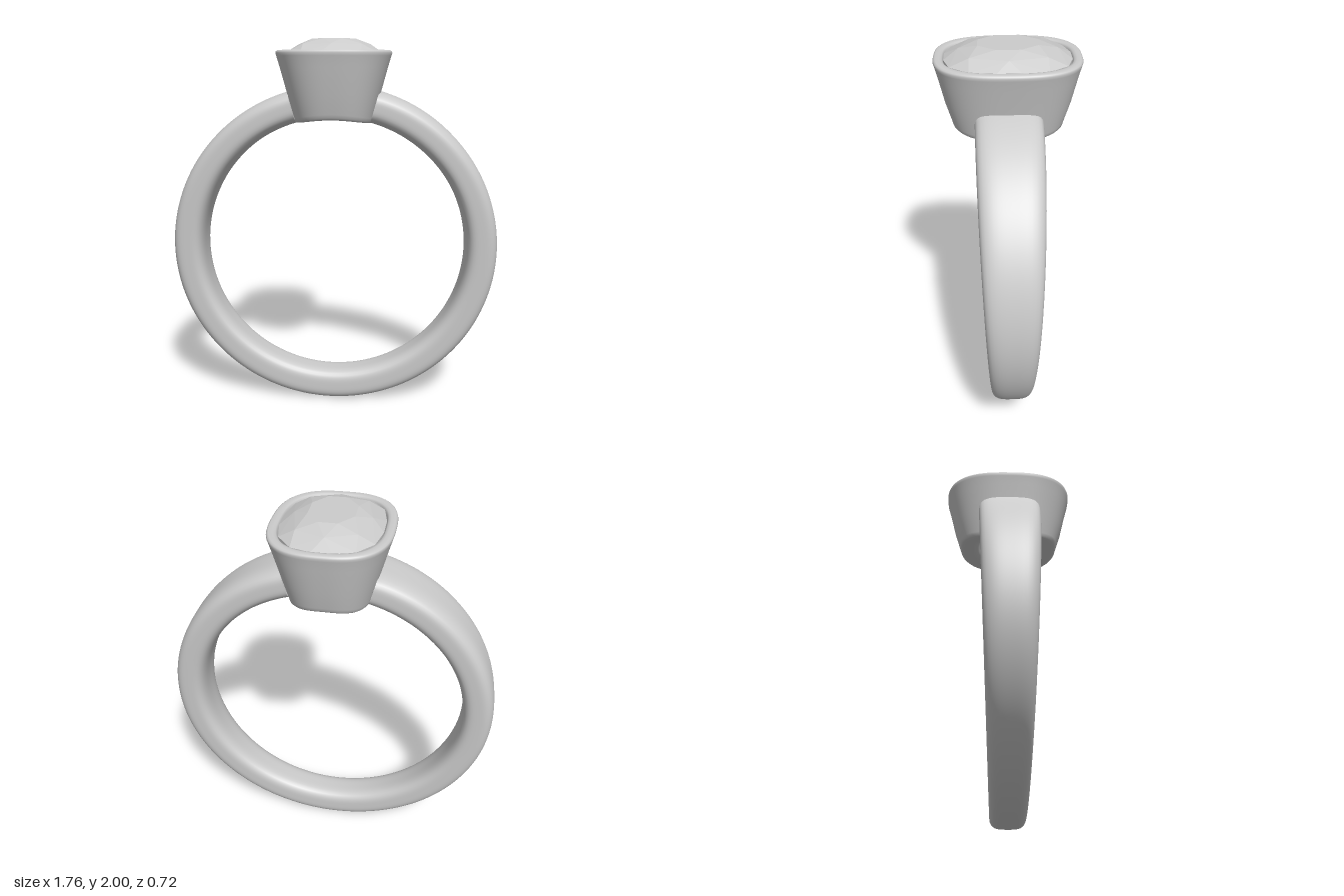
import * as THREE from 'three';
import { ConvexGeometry } from 'three/addons/geometries/ConvexGeometry.js';

const CY = 0.885, R_IN = 0.715, R_OUT = 0.882;

// Unit superellipse point at angle t; a higher n gives squarer corners
function cushion(t, n) {
  const c = Math.cos(t), s = Math.sin(t);
  const r = (Math.abs(c) ** n + Math.abs(s) ** n) ** (-1 / n);
  return [c * r, s * r];
}

// Skin a list of closed cross-sections; either join last to first or cap the ends
function loft(rings, joined) {
  const m = rings[0].length, k = rings.length, pos = [], idx = [];
  rings.forEach((ring) => ring.forEach((p) => pos.push(...p)));
  for (let i = 0; i < (joined ? k : k - 1); i++) {
    for (let j = 0; j < m; j++) {
      const i2 = (i + 1) % k, j2 = (j + 1) % m;
      const a = i * m + j, b = i * m + j2, c = i2 * m + j2, d = i2 * m + j;
      idx.push(a, b, d, b, c, d);
    }
  }
  if (!joined) {
    for (const end of [0, k - 1]) {
      const start = pos.length / 3;
      rings[end].forEach((p) => pos.push(...p));
      const mid = [0, 1, 2].map((q) => rings[end].reduce((s, p) => s + p[q], 0) / m);
      pos.push(...mid);
      for (let j = 0; j < m; j++) {
        const a = start + j, b = start + (j + 1) % m;
        if (end === 0) idx.push(start + m, b, a);
        else idx.push(start + m, a, b);
      }
    }
  }
  const g = new THREE.BufferGeometry();
  g.setAttribute('position', new THREE.Float32BufferAttribute(pos, 3));
  g.setIndex(idx);
  g.computeVertexNormals();
  return g;
}

// Open band, wide at the shoulders and narrow at the base
function bandGeometry() {
  const rings = [], steps = 160, sides = 48, gap = 0.27;
  const rm = (R_IN + R_OUT) / 2, hr = (R_OUT - R_IN) / 2;
  for (let i = 0; i <= steps; i++) {
    const a = gap + (i / steps) * (2 * Math.PI - 2 * gap);
    const hw = 0.09 + 0.045 * (CY + rm * Math.cos(a));
    const ring = [];
    for (let j = 0; j < sides; j++) {
      const [u, v] = cushion((j / sides) * Math.PI * 2, 3.5);
      const r = rm + hr * u;
      ring.push([r * Math.sin(a), CY + r * Math.cos(a), hw * v]);
    }
    rings.push(ring);
  }
  return loft(rings, false);
}

// Tapered cushion-shaped cup, its underside following the finger hole
function bezelGeometry() {
  // [half width x, half depth z, height, measured from the finger hole?]
  const profile = [
    [0.150, 0.205, 0.002, true], [0.185, 0.250, 0.000, true],
    [0.200, 0.268, 0.004, true], [0.207, 0.277, 0.014, true],
    [0.211, 0.281, 0.030, true], [0.245, 0.312, 1.73],
    [0.280, 0.342, 1.86], [0.296, 0.356, 1.915],
    [0.300, 0.360, 1.928], [0.297, 0.357, 1.937], [0.289, 0.349, 1.942],
    [0.268, 0.330, 1.942], [0.256, 0.318, 1.939], [0.249, 0.311, 1.930],
    [0.246, 0.308, 1.910], [0.225, 0.285, 1.86],
    [0.150, 0.200, 1.70], [0.122, 0.170, 1.66],
    [0.118, 0.165, 0.030, true], [0.127, 0.177, 0.010, true],
  ];
  const sides = 96;
  return loft(profile.map(([sx, sz, h, cut]) =>
    Array.from({ length: sides }, (_, j) => {
      const [u, v] = cushion((j / sides) * Math.PI * 2, 2.7);
      const x = sx * u;
      const y = cut ? CY + Math.sqrt(R_IN * R_IN - x * x) + h : h;
      return [x, y, -sz * v];
    })), true);
}

// Faceted cushion-cut stone: table, crown, girdle and pavilion rows
function stoneGeometry() {
  // [half width x, half depth z, height, corners, turn in corners]
  const rows = [
    [0.115, 0.150, 2.000, 8, 0.5], [0.187, 0.240, 1.973, 8, 0],
    [0.248, 0.310, 1.932, 16, 0.5], [0.248, 0.310, 1.915, 16, 0.5],
    [0.165, 0.215, 1.780, 8, 0], [0.080, 0.110, 1.680, 8, 0.5],
  ];
  const pts = [new THREE.Vector3(0, 1.63, 0)];
  for (const [sx, sz, y, count, turn] of rows) {
    for (let j = 0; j < count; j++) {
      const [u, v] = cushion(((j + turn) / count) * Math.PI * 2, 2.7);
      pts.push(new THREE.Vector3(sx * u, y, sz * v));
    }
  }
  return new ConvexGeometry(pts);
}

export function createModel() {
  const group = new THREE.Group();
  group.name = 'ring';
  const metal = new THREE.MeshStandardMaterial({ color: 0xcccccc });
  const facet = new THREE.MeshStandardMaterial({ color: 0xcccccc, flatShading: true });
  const add = (name, geometry, material) => {
    const mesh = new THREE.Mesh(geometry, material);
    mesh.name = name;
    group.add(mesh);
  };
  add('band', bandGeometry(), metal);
  add('bezel', bezelGeometry(), metal);
  add('stone', stoneGeometry(), facet);
  return group;
}
